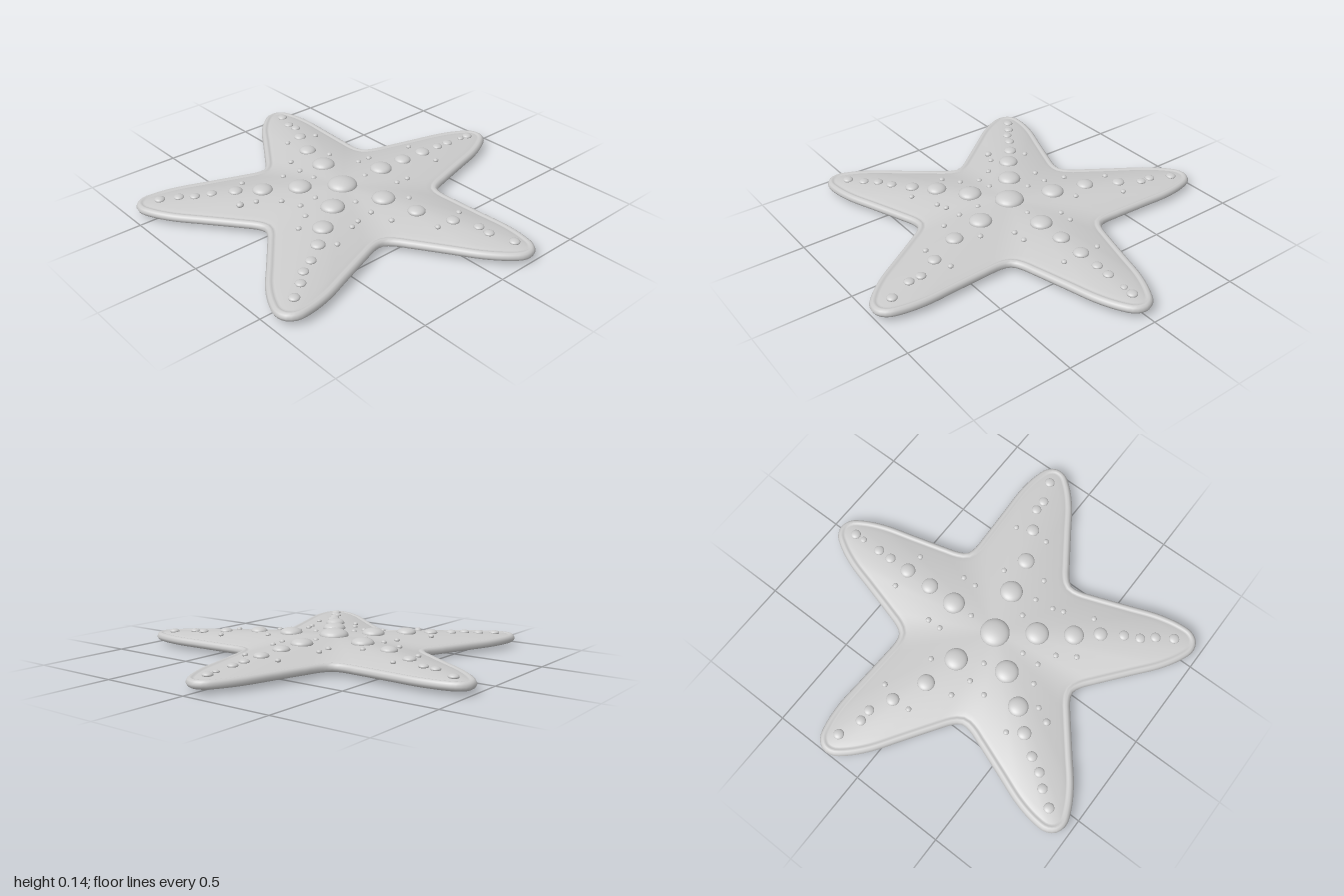
import * as THREE from 'three';

const CENTRE_Z = 0.1;
const SEGMENTS = 300;

// Half of one arm: [distance along the arm, half width], from valley to tip
const HALF_ARM = [[0.405, 0.294], [0.445, 0.268], [0.52, 0.245], [0.7, 0.195],
  [0.86, 0.15], [0.97, 0.1], [1.03, 0.055]];

// Five-armed outline, as points around the centre (x, z)
function makeOutline() {
  const points = [];
  for (let arm = 0; arm < 5; arm++) {
    const t = (arm * Math.PI * 2) / 5;
    const put = (a, w) => points.push(new THREE.Vector3(
      a * Math.sin(t) + w * Math.cos(t), 0, -a * Math.cos(t) + w * Math.sin(t)));
    HALF_ARM.forEach(([a, w]) => put(a, -w));
    put(1.05, 0);
    // The last valley point belongs to the next arm
    HALF_ARM.slice(1).reverse().forEach(([a, w]) => put(a, w));
  }
  return new THREE.CatmullRomCurve3(points, true).getSpacedPoints(SEGMENTS).slice(0, SEGMENTS);
}

const topHeight = (s) => 0.056 + 0.045 * (1 - s * s);
const bottomHeight = (s) => 0.014 + 0.05 * (1 - s * s);

// Rim section: [inset from the outline, height], over the edge from top to bottom
const RIM = [[0.036, 0.052], [0.03, 0.057], [0.018, 0.059], [0.007, 0.052], [0, 0.037],
  [0.007, 0.022], [0.018, 0.015], [0.03, 0.016]];

function bodyGeometry(outline) {
  const n = outline.length;
  const inset = (j, d) => {
    const a = outline[(j + n - 1) % n], b = outline[(j + 1) % n];
    const len = Math.hypot(b.x - a.x, b.z - a.z);
    return [outline[j].x - d * (b.z - a.z) / len, outline[j].z + d * (b.x - a.x) / len];
  };
  const positions = [], index = [];
  let rings = 0;
  const addRing = (d, s, y) => {
    for (let j = 0; j < n; j++) {
      const [x, z] = inset(j, d);
      positions.push(x * s, y, z * s + CENTRE_Z);
    }
    rings++;
  };
  const steps = 18;
  for (let i = 0; i <= steps; i++) addRing(0.042, i / steps, topHeight(i / steps));
  RIM.forEach(([d, y]) => addRing(d, 1, y));
  for (let i = steps; i >= 0; i--) addRing(0.04, i / steps, bottomHeight(i / steps) + 0.006);
  for (let i = 0; i < rings - 1; i++) {
    for (let j = 0; j < n; j++) {
      const k = (j + 1) % n;
      const a = i * n + j, b = a + n, c = (i + 1) * n + k, d = i * n + k;
      index.push(a, c, b, a, d, c);
    }
  }
  const geometry = new THREE.BufferGeometry();
  geometry.setAttribute('position', new THREE.Float32BufferAttribute(positions, 3));
  geometry.setIndex(index);
  geometry.computeVertexNormals();
  return geometry;
}

// Bumps as [x, z, radius]
const MIRRORED_BUMPS = [
  [0.895, -0.2, 0.027], [0.775, -0.155, 0.026], [0.71, -0.155, 0.026], [0.595, -0.095, 0.034],
  [0.425, -0.015, 0.045], [0.235, 0.03, 0.06], [0.13, 0.275, 0.061], [0.24, 0.43, 0.052],
  [0.33, 0.535, 0.036], [0.4, 0.635, 0.027], [0.44, 0.71, 0.026], [0.495, 0.77, 0.026],
  [0.55, 0.85, 0.027]];
const MIDDLE_BUMPS = [
  [0, 0.1, 0.077], [0, -0.17, 0.058], [0, -0.33, 0.044], [0, -0.48, 0.04],
  [0, -0.6, 0.027], [0, -0.68, 0.027], [0, -0.79, 0.018], [0, -0.845, 0.027]];
const MIRRORED_GRAINS = [
  [0.105, -0.48], [0.15, -0.22], [0.15, -0.145], [0.557, -0.178], [0.585, 0], [0.31, -0.075],
  [0.395, 0.125], [0.28, 0.155], [0.165, 0.155], [0.295, 0.255], [0.095, 0.42], [0.38, 0.46]];
const SINGLE_GRAINS = [
  [0, -0.055], [0, 0.28], [0, 0.375], [0.315, 0.31], [-0.18, 0.515], [0.155, 0.51], [-0.215, 0.59, 0.02]];

export function createModel() {
  const model = new THREE.Group();
  model.name = 'starfish';
  const material = new THREE.MeshStandardMaterial({ color: 0xcccccc });
  const outline = makeOutline();

  const body = new THREE.Mesh(bodyGeometry(outline), material);
  body.name = 'body';
  model.add(body);

  // How far out a spot lies: 0 at the centre, 1 at the edge
  const spread = (x, z) => {
    const r = Math.hypot(x, z - CENTRE_Z);
    if (r < 1e-4) return 0;
    let best = -2, edge = 1;
    for (const p of outline) {
      const length = Math.hypot(p.x, p.z);
      const alignment = (p.x * x + p.z * (z - CENTRE_Z)) / (length * r);
      if (alignment > best) { best = alignment; edge = length; }
    }
    return Math.min(1, r / edge);
  };

  const upper = new THREE.Group(), lower = new THREE.Group();
  upper.name = 'upperBumps';
  lower.name = 'lowerBumps';
  model.add(upper, lower);
  const large = new THREE.SphereGeometry(1, 24, 16);
  const small = new THREE.SphereGeometry(1, 12, 8);

  const addBump = (x, z, r, name) => {
    const s = spread(x, z);
    const place = (group, y, height) => {
      const mesh = new THREE.Mesh(r > 0.025 ? large : small, material);
      mesh.name = name;
      mesh.position.set(x, y, z);
      mesh.scale.set(r, height, r);
      group.add(mesh);
    };
    const grain = name === 'grain';
    place(upper, topHeight(s), r * (grain ? 0.7 : 0.48));
    // Underside bumps are shallow on the outer arms and full at the tips
    const atTip = !grain && Math.hypot(x, z - CENTRE_Z) > 0.92;
    const sunk = !grain && !atTip && s > 0.62;
    place(lower, bottomHeight(s) + (atTip ? 0 : 0.006), r * (atTip ? 1 : sunk ? 0.2 : grain ? 0.7 : 0.4));
  };

  MIDDLE_BUMPS.forEach(([x, z, r]) => addBump(x, z, r, 'bump'));
  SINGLE_GRAINS.forEach(([x, z, r = 0.015]) => addBump(x, z, r, 'grain'));
  for (const side of [1, -1]) {
    MIRRORED_BUMPS.forEach(([x, z, r]) => addBump(side * x, z, r, 'bump'));
    MIRRORED_GRAINS.forEach(([x, z]) => addBump(side * x, z, 0.015, 'grain'));
  }
  return model;
}
